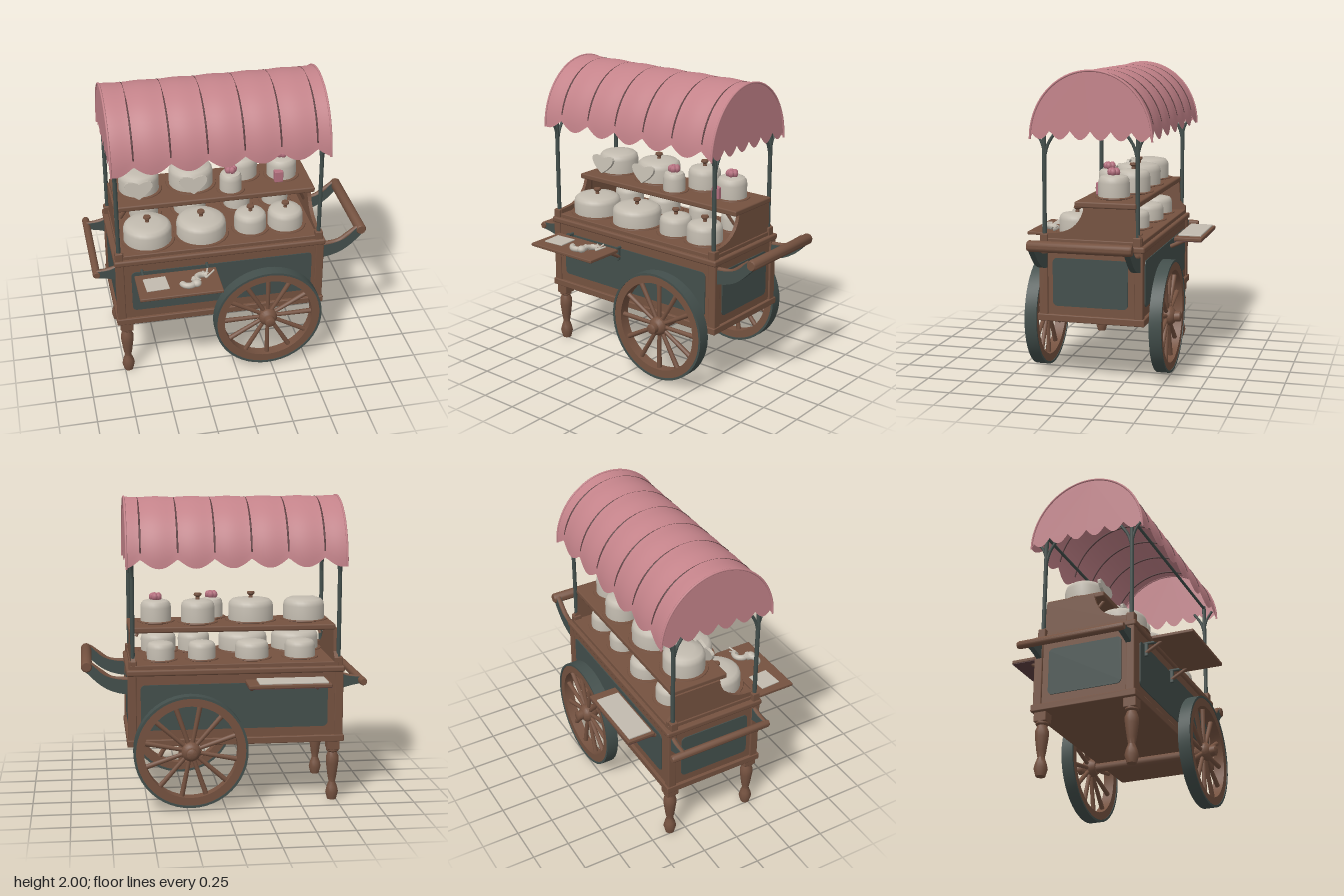
import * as THREE from 'three';
import { toCreasedNormals } from 'three/addons/utils/BufferGeometryUtils.js';
import { RoundedBoxGeometry } from 'three/addons/geometries/RoundedBoxGeometry.js';

const mat = (name, color, side = THREE.FrontSide) => {
  const m = new THREE.MeshStandardMaterial({ color, side });
  m.name = name;
  return m;
};
const V2 = (pts) => pts.map((p) => new THREE.Vector2(p[0], p[1]));
const V3 = (pts) => pts.map((p) => new THREE.Vector3(...p));

export function createModel() {
  const root = new THREE.Group();
  root.name = 'dessertCart';
  const wood = mat('wood', 0x755240);
  const green = mat('darkGreen', 0x434f4c);
  const pink = mat('canopyPink', 0xc4838a, THREE.DoubleSide);
  const cream = mat('cream', 0xc2bbaf);
  const rose = mat('rose', 0xb5707f);
  const maroon = mat('maroon', 0x5e4042);

  // Helpers
  const add = (name, geo, m, x = 0, y = 0, z = 0, parent = root) => {
    const mesh = new THREE.Mesh(geo, m);
    mesh.name = name;
    mesh.position.set(x, y, z);
    parent.add(mesh);
    return mesh;
  };
  // Box given by its limits on each axis
  const box = (name, m, x0, x1, y0, y1, z0, z1, r = 0.006) =>
    add(name, new RoundedBoxGeometry(x1 - x0, y1 - y0, z1 - z0, 1, r), m, (x0 + x1) / 2, (y0 + y1) / 2, (z0 + z1) / 2);
  const lathe = (pts, n = 24) => toCreasedNormals(new THREE.LatheGeometry(V2(pts), n), 0.7);
  const tube = (name, m, pts, r, n = 16) =>
    add(name, new THREE.TubeGeometry(new THREE.CatmullRomCurve3(V3(pts)), n, r, 8), m);
  const rod = (name, m, a, b, r) => tube(name, m, [a, b], r, 1);
  const slab = (shape, depth) => {
    const g = new THREE.ExtrudeGeometry(shape, { depth, bevelEnabled: false, curveSegments: 8 });
    return g.translate(0, 0, -depth / 2);
  };
  // Thin plate with rounded corners
  const panel = (w, h, r = 0.03) => {
    const s = new THREE.Shape();
    s.absarc(w / 2 - r, h / 2 - r, r, 0, Math.PI / 2);
    s.absarc(-w / 2 + r, h / 2 - r, r, Math.PI / 2, Math.PI);
    s.absarc(-w / 2 + r, -h / 2 + r, r, Math.PI, Math.PI * 1.5);
    s.absarc(w / 2 - r, -h / 2 + r, r, Math.PI * 1.5, Math.PI * 2);
    return slab(s, 0.008);
  };

  // Cart body with rails, corner posts and inset-look panels
  box('body', wood, -0.77, 0.61, 0.43, 0.89, -0.39, 0.27);
  box('baseRail', wood, -0.79, 0.63, 0.405, 0.45, -0.41, 0.29);
  box('topMoulding', wood, -0.79, 0.63, 0.87, 0.91, -0.41, 0.29, 0.012);
  box('counter', wood, -0.755, 0.605, 0.905, 0.937, -0.385, 0.265);
  for (const x of [-0.755, 0.595]) for (const z of [-0.37, 0.25])
    box('cornerPost', wood, x - 0.028, x + 0.028, 0.44, 0.88, z - 0.028, z + 0.028);
  for (const z of [0.272, -0.392]) add('sidePanel', panel(1.22, 0.3), green, -0.07, 0.66, z);
  for (const x of [0.612, -0.772]) add('endPanel', panel(0.49, 0.31), green, x, 0.66, -0.055).rotation.y = Math.PI / 2;

  // Raised shelf on curved cheeks
  const cheek = new THREE.Shape();
  cheek.moveTo(0.265, 0.91);
  cheek.lineTo(0.262, 0.965);
  cheek.lineTo(0.17, 0.972);
  cheek.bezierCurveTo(0.06, 0.985, 0, 1.06, -0.01, 1.15);
  cheek.lineTo(-0.34, 1.15);
  cheek.lineTo(-0.35, 1.0);
  cheek.lineTo(-0.385, 0.96);
  cheek.lineTo(-0.385, 0.91);
  for (const x of [-0.735, 0.585]) add('shelfCheek', slab(cheek, 0.025), wood, x).rotation.y = -Math.PI / 2;
  box('shelf', wood, -0.735, 0.61, 1.14, 1.178, -0.35, 0.05, 0.01);
  for (const x of [-0.7, 0.55])
    rod('shelfBracket', wood, [x, 1.06, -0.02], [x + (x < 0 ? 0.04 : -0.04), 1.15, 0.02], 0.01);

  // Turned legs
  const legProfile = [[0, 0], [0.03, 0], [0.043, 0.05], [0.035, 0.085], [0.022, 0.12], [0.03, 0.16], [0.042, 0.25],
    [0.043, 0.29], [0.03, 0.325], [0.042, 0.335], [0.042, 0.35], [0, 0.35]];
  for (const z of [0.24, -0.355]) {
    add('leg', lathe(legProfile, 12), wood, -0.725, 0, z);
    box('legBlock', wood, -0.766, -0.684, 0.345, 0.41, z - 0.042, z + 0.042);
  }

  // Spoked wheels on an axle
  const ring = (ri, ro, h) => lathe([[ri, -h], [ro, -h], [ro, h], [ri, h], [ri, -h]], 48).rotateX(Math.PI / 2);
  const hub = [[0, -0.05], [0.045, -0.05], [0.062, -0.02], [0.062, 0.025], [0.045, 0.045], [0.034, 0.05], [0.034, 0.085], [0.022, 0.092], [0, 0.092]];
  const wheel = (z, dir, turn) => {
    const g = new THREE.Group();
    g.name = 'wheel';
    g.position.set(0.225, 0.387, z);
    add('rim', ring(0.303, 0.358, 0.036), wood, 0, 0, 0, g);
    add('tyre', ring(0.355, 0.37, 0.04), green, 0, 0, 0, g);
    add('hub', lathe(hub, 20).rotateX(dir * Math.PI / 2), wood, 0, 0, 0, g);
    for (let i = 0; i < 12; i++) {
      const spoke = new THREE.CylinderGeometry(0.017, 0.013, 0.28, 8).translate(0, 0.175, 0);
      add('spoke', spoke, wood, 0, 0, 0, g).rotation.z = turn + (i * Math.PI) / 6;
    }
    root.add(g);
  };
  wheel(0.35, 1, 0);
  wheel(-0.47, -1, 0.2);
  rod('axle', wood, [0.225, 0.385, -0.45], [0.225, 0.385, 0.33], 0.033);

  // Push handle and tow handle: curved arms joined by a round bar
  const bigArm = new THREE.Shape();
  bigArm.moveTo(0.62, 0.75);
  bigArm.bezierCurveTo(0.78, 0.77, 0.82, 0.84, 0.9, 0.915);
  bigArm.lineTo(0.855, 0.955);
  bigArm.bezierCurveTo(0.8, 0.92, 0.8, 0.855, 0.62, 0.845);
  const smallArm = new THREE.Shape();
  smallArm.moveTo(-0.76, 0.87);
  smallArm.bezierCurveTo(-0.8, 0.83, -0.85, 0.835, -0.905, 0.832);
  smallArm.lineTo(-0.905, 0.788);
  smallArm.bezierCurveTo(-0.85, 0.78, -0.8, 0.77, -0.76, 0.75);
  for (const z of [0.24, -0.365]) {
    add('pushArm', slab(bigArm, 0.036), green, 0, 0, z);
    add('towArm', slab(smallArm, 0.034), green, 0, 0, z);
    tube('pushArmCap', wood, [[0.62, 0.845, z], [0.73, 0.858, z], [0.8, 0.905, z], [0.86, 0.95, z]], 0.018);
    tube('towArmCap', wood, [[-0.78, 0.845, z], [-0.84, 0.83, z], [-0.905, 0.822, z]], 0.016);
  }
  const bar = (name, x, y, r, z0, z1) => {
    const g = lathe([[0, z0], [r * 0.8, z0], [r, z0 + 0.012], [r, z1 - 0.012], [r * 0.8, z1], [0, z1]], 14);
    add(name, g.rotateX(Math.PI / 2), wood, x, y, 0);
  };
  bar('pushBar', 0.882, 0.937, 0.036, -0.395, 0.265);
  bar('towBar', -0.905, 0.81, 0.025, -0.45, 0.265);

  // Canopy: elliptical barrel with scalloped hem and gathered bays
  const X0 = -0.785, X1 = 0.625, ZC = -0.06, RZ = 0.392, YC = 1.565, RY = 0.428, BAY = 0.235;
  const barrel = new THREE.PlaneGeometry(1, 1, 96, 28);
  const p = barrel.attributes.position;
  for (let i = 0; i < p.count; i++) {
    const x = X0 + (p.getX(i) + 0.5) * (X1 - X0);
    const bulge = Math.abs(Math.sin((Math.PI * (x + 0.64)) / BAY));
    const trim = Math.asin((0.06 * (1 - bulge)) / RY);
    const a = trim + (0.5 - p.getY(i)) * (Math.PI - 2 * trim);
    const k = 0.99 + 0.012 * bulge * bulge;
    p.setXYZ(i, x, YC + RY * k * Math.sin(a), ZC - RZ * k * Math.cos(a));
  }
  barrel.computeVertexNormals();
  add('canopy', barrel, pink);
  const arch = (n, k) => Array.from({ length: n + 1 }, (_, i) => [Math.cos((i * Math.PI) / n) * RZ * k + ZC, YC + RY * k * Math.sin((i * Math.PI) / n)]);
  const hem = Array.from({ length: 47 }, (_, i) => {
    const t = (i + 1) / 48;
    return [ZC - RZ + 2 * RZ * t, YC + 0.055 * (1 - Math.abs(Math.sin(t * Math.PI * 6)))];
  });
  const gable = new THREE.ShapeGeometry(new THREE.Shape(V2([...arch(32, 0.995), ...hem]))).rotateY(-Math.PI / 2);
  for (const x of [X0 + 0.003, X1 - 0.003]) {
    add('canopyGable', gable, pink, x);
    tube('canopyPiping', pink, arch(24, 1).map(([z, y]) => [x, y, z]), 0.007, 48);
  }
  for (let i = 0; i < 6; i++) tube('canopyRib', maroon, arch(16, 0.975).map(([z, y]) => [-0.64 + i * BAY, y + 0.05 * (2 - y), z]).slice(1, -1), 0.006, 32);

  // Canopy poles with forked braces
  for (const z of [0.25, -0.355]) {
    const out = z > 0 ? 1 : -1;
    for (const x of [-0.755, 0.587]) {
      rod('pole', green, [x, 0.9, z], [x, 1.66, z], 0.014);
      box('poleFoot', wood, x - 0.026, x + 0.026, 0.9, 0.965, z - 0.026, z + 0.026);
      tube('poleBrace', green, [[x, 1.44, z], [x, 1.53, z - out * 0.025], [x, 1.61, z - out * 0.075]], 0.01, 10);
      tube('poleBrace', green, [[x, 1.48, z], [x, 1.55, z + out * 0.02], [x, 1.61, z + out * 0.06]], 0.009, 10);
    }
    rod('canopyRail', green, [-0.755, 1.645, z], [0.587, 1.645, z], 0.01);
  }

  // Domed cakes on plates; top is 'knob', 'flower' or empty
  const knob = lathe([[0, 0], [0.014, 0], [0.012, 0.018], [0.026, 0.03], [0.024, 0.042], [0, 0.046]], 12);
  const cake = (x, y, z, r, h, top) => {
    const g = new THREE.Group();
    g.name = 'cake';
    g.position.set(x, y, z);
    add('plate', lathe([[0, 0], [r * 0.8, 0], [r + 0.022, 0.012], [r + 0.02, 0.018], [0, 0.018]]), wood, 0, 0, 0, g);
    add('icing', lathe([[0, 0.015], [r, 0.015], [r, h * 0.68], [r * 0.96, h * 0.83], [r * 0.84, h * 0.94], [r * 0.5, h], [0, h]], 28), cream, 0, 0, 0, g);
    if (top === 'knob') add('knob', knob, wood, 0, h - 0.002, 0, g);
    if (top === 'flower') for (let i = 0; i < 5; i++) {
      const petal = add('petal', new THREE.SphereGeometry(0.022, 8, 6), rose, 0.022 * Math.cos(i * 1.257), h + 0.018, 0.022 * Math.sin(i * 1.257), g);
      petal.scale.set(1, 1.2, 1);
    }
    root.add(g);
  };
  for (const [x, r] of [[-0.54, 0.16], [-0.18, 0.165], [0.155, 0.107], [0.395, 0.118]]) cake(x, 0.935, 0.09, r, 0.143, 'knob');
  for (const [x, r] of [[-0.52, 0.1], [-0.2, 0.11], [0.13, 0.09], [0.4, 0.09]]) cake(x, 0.935, -0.23, r, 0.13, '');
  cake(-0.555, 1.177, -0.16, 0.135, 0.155, '');
  cake(-0.2, 1.177, -0.17, 0.148, 0.158, 'knob');
  cake(0.045, 1.177, -0.03, 0.074, 0.145, 'flower');
  cake(0.155, 1.177, -0.22, 0.11, 0.16, 'knob');
  cake(0.425, 1.177, -0.16, 0.1, 0.155, 'flower');
  box('cakeSlice', rose, 0.35, 0.41, 1.195, 1.275, -0.08, -0.035);

  // Heart biscuits leaning on the shelf cakes
  const heart = new THREE.Shape();
  heart.moveTo(0, -0.06);
  heart.bezierCurveTo(0.14, 0.02, 0.11, 0.1, 0, 0.045);
  heart.bezierCurveTo(-0.11, 0.1, -0.14, 0.02, 0, -0.06);
  for (const x of [-0.575, -0.21]) add('heartBiscuit', slab(heart, 0.02), cream, x, 1.256, -0.01).rotation.x = -0.15;

  // Fold-out trays on both long sides
  box('frontTray', wood, -0.67, -0.13, 0.812, 0.834, 0.345, 0.617);
  box('backTray', wood, -0.665, -0.13, 0.818, 0.842, -0.622, -0.43);
  add('backTrayUnderside', new THREE.BoxGeometry(0.53, 0.004, 0.186), maroon, -0.3975, 0.817, -0.526);
  for (const x of [-0.61, -0.178]) {
    rod('trayArm', green, [x, 0.818, 0.27], [x, 0.818, 0.36], 0.01);
    box('trayHook', green, x - 0.009, x + 0.009, 0.73, 0.82, 0.275, 0.3);
    rod('trayStrut', wood, [x, 0.755, 0.285], [x, 0.815, 0.39], 0.012);
    rod('trayStrut', wood, [x, 0.77, -0.4], [x, 0.818, -0.5], 0.014);
  }
  box('backTrayCloth', cream, -0.645, -0.2, 0.838, 0.853, -0.605, -0.445);
  box('napkin', cream, -0.62, -0.47, 0.832, 0.842, 0.4, 0.54, 0.004).rotation.y = 0.06;
  // Pastries on the front tray
  for (const [x, z, turn] of [[-0.34, 0.5, 3.4], [-0.24, 0.48, 0.6]]) {
    const roll = add('croissant', new THREE.TorusGeometry(0.045, 0.02, 8, 12, 3.6), cream, x, 0.848, z);
    roll.rotation.set(-Math.PI / 2, 0, turn);
  }
  add('bun', new THREE.SphereGeometry(0.03, 12, 8), cream, -0.29, 0.852, 0.53).scale.y = 0.8;
  for (const a of [-0.7, 0, 0.8]) rod('biscuitStick', cream, [-0.22, 0.842, 0.47], [-0.2 + 0.05 * a, 0.872, 0.41 + 0.03 * Math.abs(a)], 0.006);
  return root;
}
